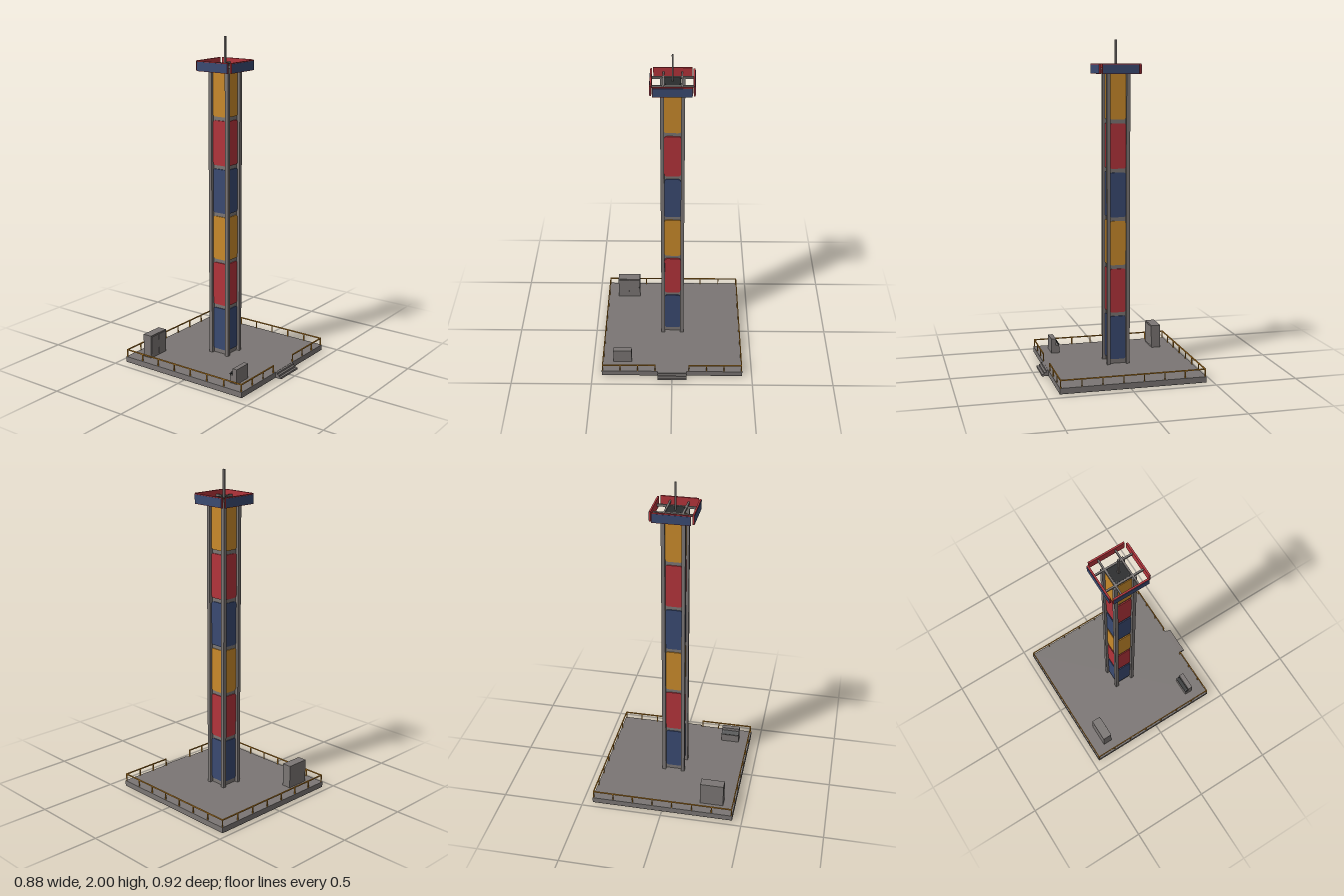
import * as THREE from 'three';

const mat = (name, color) => {
  const m = new THREE.MeshStandardMaterial({ color });
  m.name = name;
  return m;
};

export function createModel() {
  const grey = mat('concrete grey', 0x7b7674);
  const dark = mat('charcoal', 0x2a2c2d);
  const red = mat('red', 0xb3343b);
  const blue = mat('blue', 0x3a4a72);
  const orange = mat('orange', 0xc98a2b);

  const model = new THREE.Group();
  model.name = 'signTower';
  const group = (name, parent = model) => {
    const g = new THREE.Group();
    g.name = name;
    parent.add(g);
    return g;
  };
  // Box given by its lower and upper bounds on each axis
  const box = (parent, name, m, x0, x1, y0, y1, z0, z1) => {
    const mesh = new THREE.Mesh(new THREE.BoxGeometry(x1 - x0, y1 - y0, z1 - z0), m);
    mesh.position.set((x0 + x1) / 2, (y0 + y1) / 2, (z0 + z1) / 2);
    mesh.name = name;
    parent.add(mesh);
    return mesh;
  };

  // Plinth with dark underside and front steps
  const floor = 0.035;
  const base = group('base');
  box(base, 'underside', dark, -0.44, 0.44, 0, 0.002, -0.46, 0.42);
  box(base, 'slab', grey, -0.44, 0.44, 0.002, floor, -0.46, 0.42);
  [[0.012, 0.46], [0.023, 0.446], [0.034, 0.432]].forEach(([h, z]) => {
    box(base, 'step', grey, -0.09, 0.09, 0.002, h, 0.42, z);
  });
  box(base, 'stepUnderside', dark, -0.09, 0.09, 0, 0.002, 0.42, 0.46);

  // Railing: each run is a top rail with evenly spaced posts
  const railing = group('railing');
  const t = 0.003;
  const run = (xa, za, xb, zb, n) => {
    box(railing, 'topRail', orange, Math.min(xa, xb) - t, Math.max(xa, xb) + t,
      0.076, 0.083, Math.min(za, zb) - t, Math.max(za, zb) + t);
    for (let i = 0; i <= n; i++) {
      const x = xa + (xb - xa) * i / n, z = za + (zb - za) * i / n;
      box(railing, 'railPost', orange, x - t, x + t, floor, 0.078, z - t, z + t);
    }
  };
  run(-0.434, -0.454, 0.434, -0.454, 7);
  run(-0.434, -0.454, -0.434, 0.414, 7);
  run(0.434, -0.454, 0.434, 0.414, 7);
  run(-0.434, 0.414, -0.105, 0.414, 3);
  run(0.105, 0.414, 0.434, 0.414, 3);

  // Tower, built around its own axis
  const tower = group('tower');
  tower.position.z = -0.02;
  box(tower, 'core', grey, -0.049, 0.049, floor, 1.8, -0.049, 0.049);
  box(tower, 'roof', dark, -0.048, 0.048, 1.8, 1.835, -0.048, 0.048);
  box(tower, 'mast', grey, -0.005, 0.005, 1.835, 2, -0.006, 0.006);
  for (const sx of [-1, 1]) for (const sz of [-1, 1]) {
    const x = sx * 0.06, z = sz * 0.06;
    box(tower, 'cornerPost', grey, x - 0.011, x + 0.011, floor, 1.825, z - 0.011, z + 0.011);
    box(tower, 'roofBolt', grey, sx * 0.04 - 0.002, sx * 0.04 + 0.002, 1.835, 1.838,
      sz * 0.04 - 0.002, sz * 0.04 + 0.002);
  }

  // Coloured panel outline with rounded corners
  const w = 0.049, h = 0.135, r = 0.015;
  const shape = new THREE.Shape();
  shape.moveTo(-w + r, -h);
  shape.lineTo(w - r, -h);
  shape.quadraticCurveTo(w, -h, w, -h + r);
  shape.lineTo(w, h - r);
  shape.quadraticCurveTo(w, h, w - r, h);
  shape.lineTo(-w + r, h);
  shape.quadraticCurveTo(-w, h, -w, h - r);
  shape.lineTo(-w, -h + r);
  shape.quadraticCurveTo(-w, -h, -w + r, -h);
  const panelGeo = new THREE.ExtrudeGeometry(shape, { depth: 0.006, bevelEnabled: false, curveSegments: 4 });

  // Four sides: panels, sign board and its bracket arms
  for (let s = 0; s < 4; s++) {
    const side = group('towerSide', tower);
    side.rotation.y = s * Math.PI / 2;
    for (let i = 0; i < 6; i++) {
      const panel = new THREE.Mesh(panelGeo, [blue, red, orange][i % 3]);
      panel.name = 'colourPanel';
      panel.position.set(0, 0.198 + i * 0.2935, 0.049);
      side.add(panel);
    }
    box(side, 'signBoard', red, -0.112, 0.112, 1.8, 1.86, 0.118, 0.128);
    box(side, 'signFace', blue, -0.11, 0.11, 1.803, 1.855, 0.128, 0.13);
    for (const x of [-0.054, 0.054]) {
      box(side, 'bracketArm', grey, x - 0.005, x + 0.005, 1.823, 1.837, -0.06, 0.119);
    }
  }

  // Equipment cabinet with two doors
  const cabinet = group('cabinet');
  box(cabinet, 'cabinetBody', grey, -0.37, -0.225, floor, 0.18, -0.376, -0.318);
  for (const x of [-0.364, -0.295]) {
    box(cabinet, 'cabinetDoor', grey, x, x + 0.064, 0.045, 0.172, -0.318, -0.315);
  }

  // Control desk with a sloped dark panel facing the tower
  const desk = group('controlDesk');
  box(desk, 'deskBack', grey, -0.37, -0.255, floor, 0.127, 0.305, 0.335);
  box(desk, 'deskFront', grey, -0.37, -0.255, floor, 0.085, 0.285, 0.305);
  const slope = group('controlPanel', desk);
  slope.position.set(-0.3125, 0.098, 0.295);
  slope.rotation.x = -0.8;
  box(slope, 'panelPlate', dark, -0.0575, 0.0575, -0.004, 0.004, -0.014, 0.014);
  for (const x of [-0.05, 0.05]) for (const z of [-0.007, 0, 0.007]) {
    box(slope, 'button', grey, x - 0.002, x + 0.002, 0.004, 0.006, z - 0.0015, z + 0.0015);
  }

  return model;
}
